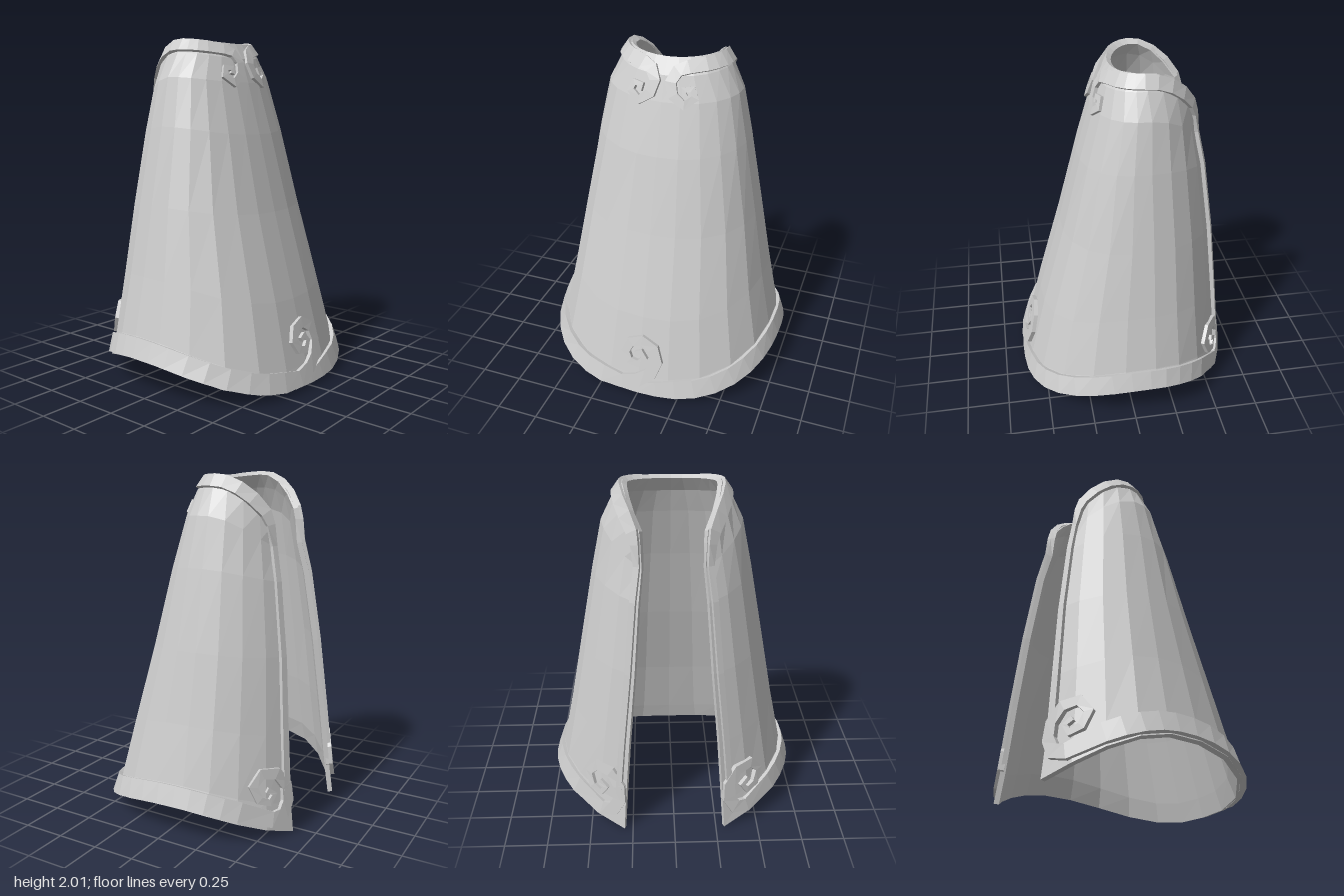
import * as THREE from 'three';

// Cross-section levels, bottom to top:
// y at front / side / back, front z, half width, back z, opening half width, centre z, squareness
const LEVELS = [
  [0.01, 0.20, -0.04, 0.615, 0.725, -0.68, 0.30, -0.10, 2.55],
  [0.12, 0.32, 0.13, 0.585, 0.685, -0.66, 0.29, -0.10, 2.5],
  [0.50, 0.65, 0.55, 0.49, 0.615, -0.62, 0.26, -0.10, 2.45],
  [1.00, 1.05, 1.00, 0.35, 0.54, -0.57, 0.22, -0.10, 2.4],
  [1.45, 1.50, 1.40, 0.235, 0.455, -0.51, 0.19, -0.10, 2.3],
  [1.75, 1.78, 1.56, 0.15, 0.395, -0.465, 0.17, -0.11, 2.2],
  [1.89, 1.92, 1.66, 0.105, 0.325, -0.47, 0.175, -0.12, 2.1],
  [1.98, 2.00, 1.64, 0.05, 0.27, -0.49, 0.18, -0.13, 2],
];
const TOP = LEVELS.length - 1;

// Point on the wrap: u runs -1..1 from one opening edge round the front to the other, v counts levels
function surface(u, v) {
  const i = Math.min(TOP - 1, Math.max(0, Math.floor(v)));
  const [yF, yS, yB, zF, W, zB, E, c, n] =
    LEVELS[i].map((p, k) => p + (LEVELS[i + 1][k] - p) * (v - i));
  const a = u * (Math.PI - Math.asin(E / W));
  const s = Math.sin(a), co = Math.cos(a);
  const e = co > 0 ? n : 2;
  const r = Math.pow(Math.abs(s) ** e + Math.abs(co) ** e, -1 / e);
  const w = r * co;
  return new THREE.Vector3(
    W * r * s,
    yS + ((co > 0 ? yF : yB) - yS) * w * w,
    c + w * (co > 0 ? zF - c : c - zB));
}

function normalAt(u, v) {
  const d = 0.02;
  const du = surface(u + d, v).sub(surface(u - d, v));
  const dv = surface(u, v + d).sub(surface(u, v - d));
  return du.cross(dv).normalize();
}

// Finds the (u, v) whose x and y match the target, starting near u0, v0
function locate(x, y, u0, v0) {
  let u = u0, v = v0;
  const d = 1e-3;
  const clamp = THREE.MathUtils.clamp;
  for (let k = 0; k < 25; k++) {
    const p = surface(u, v), pu = surface(u + d, v).sub(p), pv = surface(u, v + d).sub(p);
    const det = pu.x * pv.y - pv.x * pu.y;
    if (Math.abs(det) < 1e-12) break;
    const ex = x - p.x, ey = y - p.y;
    u += clamp(d * (ex * pv.y - pv.x * ey) / det, -0.1, 0.1);
    v += clamp(d * (pu.x * ey - ex * pu.y) / det, -0.5, 0.5);
    u = clamp(u, -1, 1);
    v = clamp(v, 0, TOP);
  }
  return [u, v];
}

// Faceted solid joining matching loops, capped at both ends
function loft(loops) {
  const out = [];
  const quad = (a, b, c, d) => [a, b, c, a, c, d].forEach((p) => out.push(p.x, p.y, p.z));
  const n = loops[0].length;
  for (let j = 0; j < loops.length - 1; j++) {
    for (let i = 0; i < n; i++) {
      const k = (i + 1) % n;
      quad(loops[j][i], loops[j + 1][i], loops[j + 1][k], loops[j][k]);
    }
  }
  const A = loops[0], B = loops[loops.length - 1];
  for (let i = 0; i < n / 2 - 1; i++) {
    quad(A[i], A[i + 1], A[n - 2 - i], A[n - 1 - i]);
    quad(B[n - 1 - i], B[n - 2 - i], B[i + 1], B[i]);
  }
  const g = new THREE.BufferGeometry();
  g.setAttribute('position', new THREE.Float32BufferAttribute(out, 3));
  g.computeVertexNormals();
  return g;
}

// Raised strip lying on the wrap; path entries are [u, v, width]
function ribbon(path, height = 0.02) {
  const pts = path.map(([u, v]) => surface(u, v));
  return loft(path.map(([u, v, width], i) => {
    const n = normalAt(u, v);
    const t = pts[Math.min(i + 1, pts.length - 1)].clone().sub(pts[Math.max(i - 1, 0)]);
    const side = n.clone().cross(t).normalize().multiplyScalar(width / 2);
    const at = (s, h) => pts[i].clone().addScaledVector(side, s).addScaledVector(n, h);
    return [at(-1, height), at(1, height), at(1, -0.02), at(-1, -0.02)];
  }));
}

// Scroll centrelines as [x, y] with a tapering width
function scroll(points, mirror, u0, v0, w0, w1) {
  let guess = [u0 * mirror, v0];
  return points.map(([x, y], i) => {
    guess = locate(x * mirror, y, guess[0], guess[1]);
    return [...guess, w0 + (w1 - w0) * i / (points.length - 1)];
  });
}

const FRONT_SCROLL = [[0.1, 0.065], [0, 0.095], [-0.075, 0.15], [-0.11, 0.24], [-0.085, 0.32],
  [-0.01, 0.36], [0.06, 0.335], [0.09, 0.27], [0.06, 0.215], [0, 0.205], [-0.035, 0.25],
  [-0.01, 0.285], [0.025, 0.265]];
const BACK_SCROLL = [[0.43, 0.115], [0.36, 0.13], [0.32, 0.2], [0.32, 0.29], [0.37, 0.37],
  [0.45, 0.385], [0.5, 0.32], [0.48, 0.24], [0.43, 0.215], [0.4, 0.26], [0.435, 0.29]];
const COLLAR_SCROLL = [[0.13, 1.935], [0.075, 1.915], [0.045, 1.86], [0.065, 1.79], [0.13, 1.745],
  [0.185, 1.785], [0.165, 1.83], [0.12, 1.825], [0.13, 1.795]];

export function createModel() {
  const group = new THREE.Group();
  const grey = new THREE.MeshStandardMaterial({ color: 0xcccccc });
  grey.name = 'pale grey';
  const add = (name, geometry) => {
    const mesh = new THREE.Mesh(geometry, grey);
    mesh.name = name;
    group.add(mesh);
  };

  // Thin tapering wrap, open at the back
  const loops = [];
  for (let j = 0; j <= 20; j++) {
    const u = j / 10 - 1;
    const outer = [], inner = [];
    for (let v = 0; v <= TOP; v++) {
      const p = surface(u, v);
      outer.push(p);
      inner.unshift(p.clone().addScaledVector(normalAt(u, v), -0.03));
    }
    loops.push([...outer, ...inner]);
  }
  add('wrap', loft(loops));

  for (const m of [1, -1]) {
    const sideName = m > 0 ? 'left' : 'right';

    // Hem band, ending in a scroll at the back corner
    const hem = [];
    for (let i = 0; i <= 12; i++) hem.push([m * (0.12 + i * 0.057), 0.5, 0.115]);
    const back = scroll(BACK_SCROLL, m, 0.9, 0.7, 0.09, 0.03);
    // The right hem curls up at the front; the left one tapers away beneath it
    const front = m < 0
      ? scroll(FRONT_SCROLL, -1, 0.05, 0.5, 0.09, 0.03).reverse()
      : [[-0.08, 0.12, 0.015], [0, 0.3, 0.06], [0.06, 0.42, 0.09]];
    add(sideName + 'Hem', ribbon([...front, ...hem, ...back], m < 0 ? 0.022 : 0.018));

    // Collar band, curling into a scroll at the front and running down the opening edge
    const collar = scroll(COLLAR_SCROLL, m, 0.2, 6.4, 0.075, 0.028).reverse();
    for (let i = 0; i <= 6; i++) collar.push([m * (0.32 + i * 0.09), 6.5, 0.08]);
    collar.push([m * 0.94, 6.3, 0.07], [m * 0.965, 5.8, 0.05]);
    for (let v = 5; v >= 1; v--) collar.push([m * 0.975, v, 0.035]);
    add(sideName + 'CollarBand', ribbon(collar, 0.018));
  }
  return group;
}
